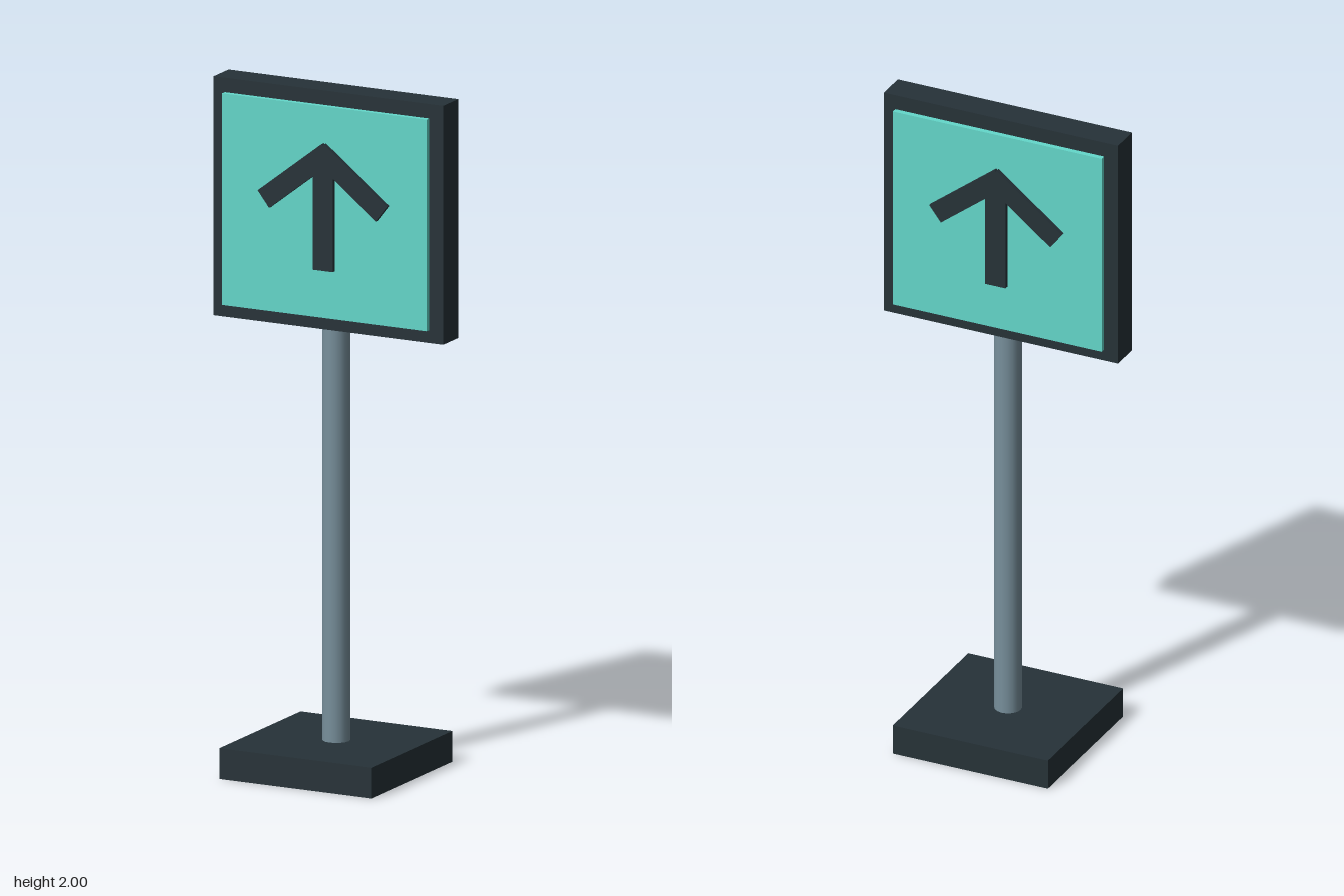
import * as THREE from 'three';

const mat = (color) => new THREE.MeshStandardMaterial({ color });

export function createModel() {
  const group = new THREE.Group();
  const dark = mat(0x263238);
  const steel = mat(0x78909c);
  const teal = mat(0x64d8cb);

  const box = (parent, name, size, pos, material) => {
    const mesh = new THREE.Mesh(new THREE.BoxGeometry(...size), material);
    mesh.name = name;
    mesh.position.set(...pos);
    parent.add(mesh);
    return mesh;
  };

  // Square foot
  box(group, 'base', [0.49, 0.09, 0.49], [0, 0.045, 0], dark);

  // Round post from the foot into the sign
  const pole = new THREE.Mesh(new THREE.CylinderGeometry(0.04, 0.04, 1.23, 16), steel);
  pole.name = 'pole';
  pole.position.y = 0.09 + 1.23 / 2;
  group.add(pole);

  // Sign housing
  box(group, 'signFrame', [0.74, 0.7, 0.09], [0, 1.65, 0], dark);

  // The same panel and arrow on both faces
  for (const [side, turn] of [['front', 0], ['back', Math.PI]]) {
    const face = new THREE.Group();
    face.name = side + 'Face';
    face.rotation.y = turn;
    box(face, side + 'Panel', [0.66, 0.62, 0.016], [0, 1.65, 0.061], teal);

    const arrow = new THREE.Group();
    arrow.name = side + 'Arrow';
    box(arrow, 'arrowShaft', [0.064, 0.34, 0.016], [0, 1.651, 0.074], dark);
    for (const s of [-1, 1]) {
      const arm = box(arrow, s < 0 ? 'arrowArmRight' : 'arrowArmLeft',
        [0.26, 0.06, 0.016], [s * 0.088, 1.749, 0.074], dark);
      arm.rotation.z = -s * 0.66;
    }
    face.add(arrow);
    group.add(face);
  }
  return group;
}
